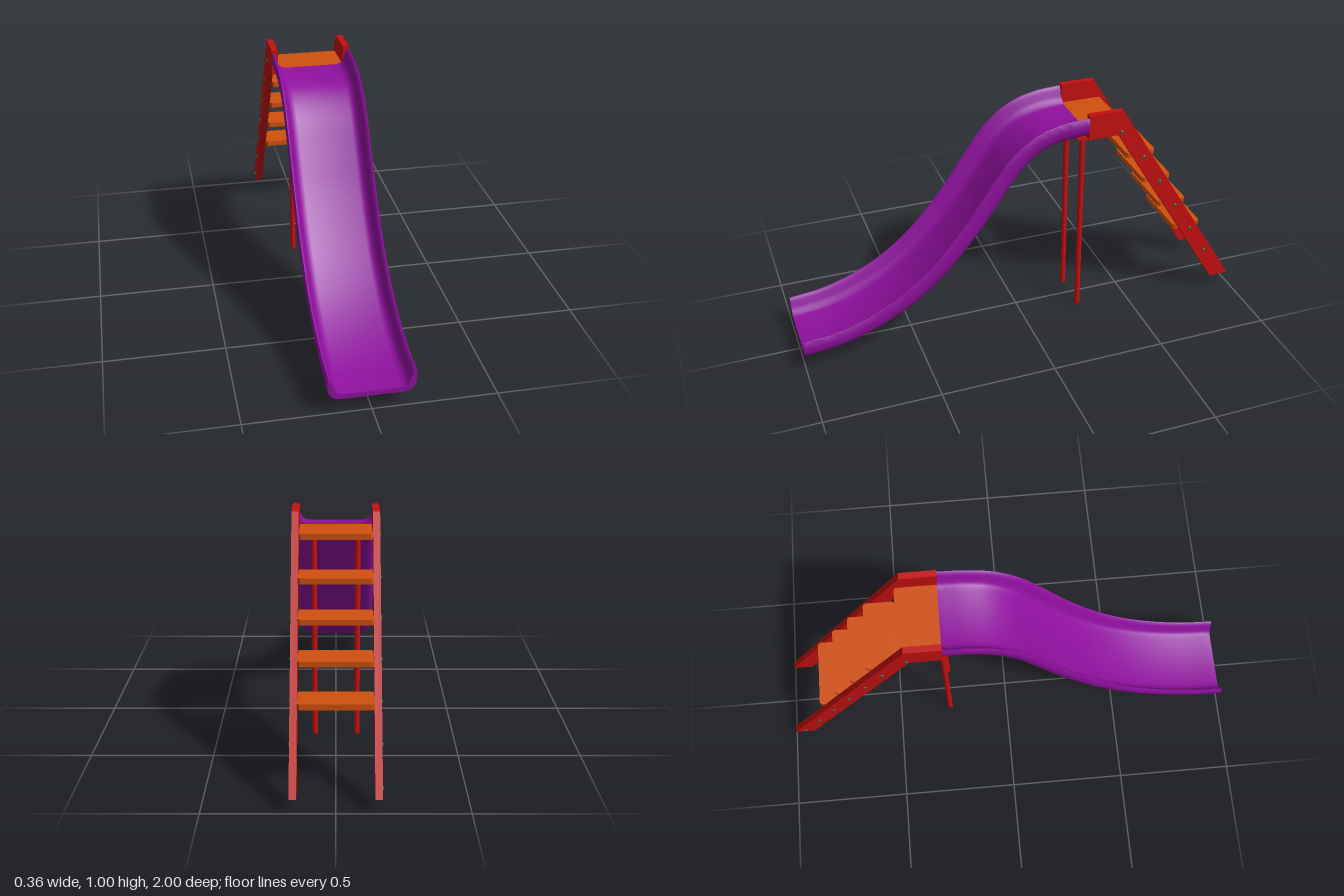
import * as THREE from 'three';
import { toCreasedNormals } from 'three/addons/utils/BufferGeometryUtils.js';

const mat = (name, color, side = THREE.FrontSide) => {
  const m = new THREE.MeshStandardMaterial({ color, side });
  m.name = name;
  return m;
};

// Sweeps a closed counter-clockwise section along a path in the YZ plane
function sweep(section, path, steps) {
  const pos = [], idx = [], n = section.length;
  for (let i = 0; i <= steps; i++) {
    const p = path.getPoint(i / steps);
    const t = path.getTangent(i / steps);
    if (i === 0 || i === steps) t.set(0, 0, 1);
    for (const s of section) pos.push(s.x, p.y + s.y * t.z, p.z - s.y * t.y);
  }
  for (let i = 0; i < steps; i++) {
    for (let j = 0; j < n; j++) {
      const a = i * n + j, b = i * n + (j + 1) % n;
      idx.push(a, b, b + n, a, b + n, a + n);
    }
  }
  // End caps
  for (const [a, b, c] of THREE.ShapeUtils.triangulateShape(section, [])) {
    const e = steps * n;
    idx.push(c, b, a, e + a, e + b, e + c);
  }
  const g = new THREE.BufferGeometry();
  g.setAttribute('position', new THREE.Float32BufferAttribute(pos, 3));
  g.setIndex(idx);
  return toCreasedNormals(g, 0.75);
}

const shapeOf = (pts) => new THREE.Shape(pts.map(([x, y]) => new THREE.Vector2(x, y)));

export function createModel() {
  const group = new THREE.Group();
  group.name = 'playgroundSlide';
  const purple = mat('purple plastic', 0x8f109e, THREE.DoubleSide);
  const red = mat('red paint', 0xc41010);
  const orange = mat('orange board', 0xd0500e);
  const green = mat('green bolt', 0x12784a);

  const add = (name, geo, material, x = 0, y = 0, z = 0) => {
    const m = new THREE.Mesh(geo, material);
    m.name = name;
    m.position.set(x, y, z);
    group.add(m);
    return m;
  };

  // Chute: U-shaped channel following an S curve from the deck to the exit
  const half = [
    [0.12, -0.047], [0.138, -0.045], [0.153, -0.038], [0.165, -0.025], [0.171, -0.008],
    [0.173, 0.01], [0.173, 0.043], [0.17, 0.047], [0.164, 0.044], [0.157, 0.03],
    [0.15, 0.008], [0.143, -0.008], [0.133, -0.019], [0.115, -0.025],
  ];
  const section = [
    ...half.map(([x, y]) => new THREE.Vector2(x, y)),
    ...half.slice().reverse().map(([x, y]) => new THREE.Vector2(-x, y)),
  ];
  const path = new THREE.CatmullRomCurve3([
    [-0.265, 0.942], [-0.15, 0.933], [-0.05, 0.902], [0.05, 0.825], [0.15, 0.69], [0.25, 0.548],
    [0.4, 0.375], [0.55, 0.253], [0.7, 0.174], [0.85, 0.127], [1, 0.109],
  ].map(([z, y]) => new THREE.Vector3(0, y, z)));
  add('slideChute', sweep(section, path, 50), purple);

  // Ladder rails, each one piece with the deck side plate
  const railGeo = new THREE.ExtrudeGeometry(shapeOf([
    [-0.262, 0.89], [-0.262, 1], [-0.415, 1], [-0.997, 0.055], [-0.908, 0.055], [-0.398, 0.89],
  ]), { depth: 0.028, bevelEnabled: false }).rotateY(-Math.PI / 2);
  add('leftRail', railGeo, red, 0.173);
  add('rightRail', railGeo, red, -0.145);

  // Deck and steps: boards with clipped corners, placed by their top face
  const board = (name, depth, y, z) => {
    const w = 0.146, d = depth / 2, c = 0.009;
    const geo = new THREE.ExtrudeGeometry(shapeOf([
      [-w + c, -d], [w - c, -d], [w, -d + c], [w, d - c],
      [w - c, d], [-w + c, d], [-w, d - c], [-w, -d + c],
    ]), { depth: 0.023, bevelEnabled: false }).rotateX(Math.PI / 2);
    add(name, geo, orange, 0, y, z);
  };
  board('deck', 0.18, 0.916, -0.352);
  for (let i = 0; i < 4; i++) board('step', 0.132, 0.777 - i * 0.138, -0.518 - i * 0.084);

  // Support posts and the bracket beneath the deck
  const postGeo = new THREE.CylinderGeometry(0.012, 0.012, 0.875, 16);
  for (const s of [1, -1]) add('supportPost', postGeo, red, s * 0.089, 0.4375, -0.268);
  add('bracketPlate', new THREE.BoxGeometry(0.29, 0.012, 0.095), red, 0, 0.885, -0.268);
  add('bracketBeam', new THREE.BoxGeometry(0.27, 0.012, 0.05), red, 0, 0.873, -0.268);

  // Bolts down the outside of the rails; one extra at the foot of the right rail
  const boltGeo = new THREE.SphereGeometry(0.008, 12, 8).scale(0.7, 1, 1);
  for (const s of [1, -1]) {
    for (let i = 0; i < (s < 0 ? 7 : 6); i++) {
      const y = 0.903 - i * 0.138;
      add('bolt', boltGeo, green, s * 0.173, y, i === 0 ? -0.41 : -0.435 - i * 0.085);
    }
  }
  return group;
}
